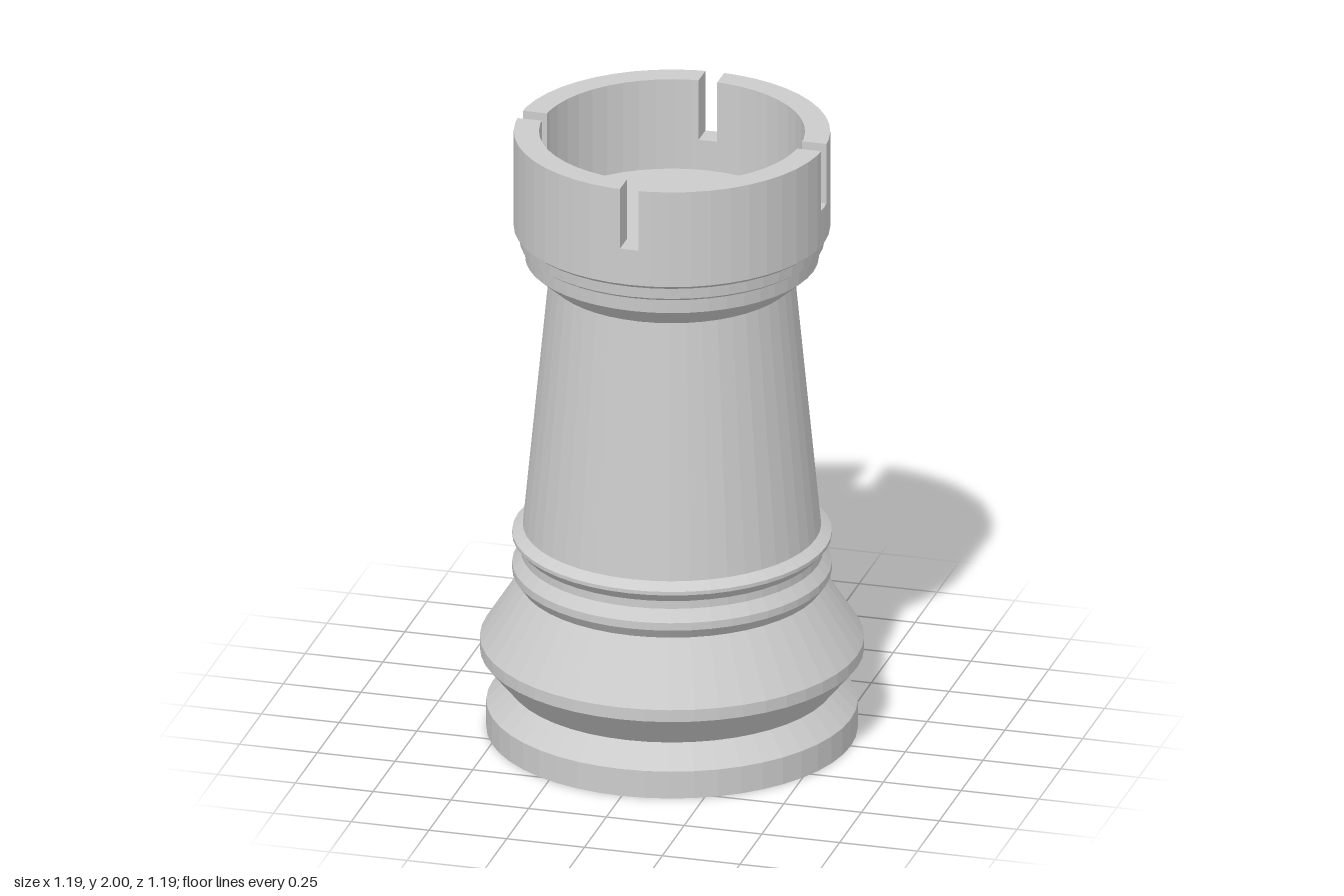
import * as THREE from 'three';

const SIDES = 48;
const R_OUT = 0.49, R_IN = 0.412;
const SLOT_HALF = 0.03, SLOT_Y = 1.8, TOP_Y = 2, FLOOR_Y = 1.7;
const material = new THREE.MeshStandardMaterial({ color: 0xcccccc, flatShading: true });

// Turned part from [radius, height] pairs, listed from bottom to top
function turned(name, profile) {
  const points = profile.map(([r, y]) => new THREE.Vector2(r, y));
  const mesh = new THREE.Mesh(new THREE.LatheGeometry(points, SIDES), material);
  mesh.name = name;
  return mesh;
}

// Quarter arc whose ends are cut parallel to the slots and whose facets match the turned parts
function quarterArc(r) {
  const step = (Math.PI * 2) / SIDES;
  const end = r - SLOT_HALF * Math.tan(step / 2);
  const points = [new THREE.Vector2(end, SLOT_HALF)];
  for (let i = 1; i < SIDES / 4; i++) {
    points.push(new THREE.Vector2(r * Math.cos(i * step), r * Math.sin(i * step)));
  }
  points.push(new THREE.Vector2(SLOT_HALF, end));
  return points;
}

export function createModel() {
  const model = new THREE.Group();
  model.name = 'rook';

  // Stepped foot and wide flared base
  model.add(turned('base', [
    [0, 0], [0.575, 0], [0.575, 0.09], [0.508, 0.16],
    [0.595, 0.265], [0.595, 0.305], [0.472, 0.497],
  ]));

  // Two rings between base and shaft
  model.add(turned('collar', [
    [0.472, 0.497], [0.495, 0.53], [0.495, 0.555], [0.468, 0.592],
    [0.468, 0.618], [0.495, 0.648], [0.495, 0.66], [0.462, 0.682],
  ]));

  // Tapered shaft
  model.add(turned('shaft', [[0.462, 0.682], [0.381, 1.515]]));

  // Flared neck with small steps, crown wall up to the slots, and sunken floor
  model.add(turned('crown', [
    [0.381, 1.515], [0.455, 1.58], [0.458, 1.625], [0.472, 1.635],
    [0.475, 1.67], [R_OUT, 1.682], [R_OUT, SLOT_Y], [R_IN, SLOT_Y],
    [R_IN, FLOOR_Y], [0, FLOOR_Y],
  ]));

  // Four battlements separated by narrow slots
  const shape = new THREE.Shape([...quarterArc(R_OUT), ...quarterArc(R_IN).reverse()]);
  const geometry = new THREE.ExtrudeGeometry(shape, { depth: TOP_Y - SLOT_Y, bevelEnabled: false });
  geometry.rotateX(-Math.PI / 2);
  for (let i = 0; i < 4; i++) {
    const battlement = new THREE.Mesh(geometry, material);
    battlement.name = 'battlement' + (i + 1);
    battlement.position.y = SLOT_Y;
    battlement.rotation.y = (i * Math.PI) / 2;
    model.add(battlement);
  }
  return model;
}
